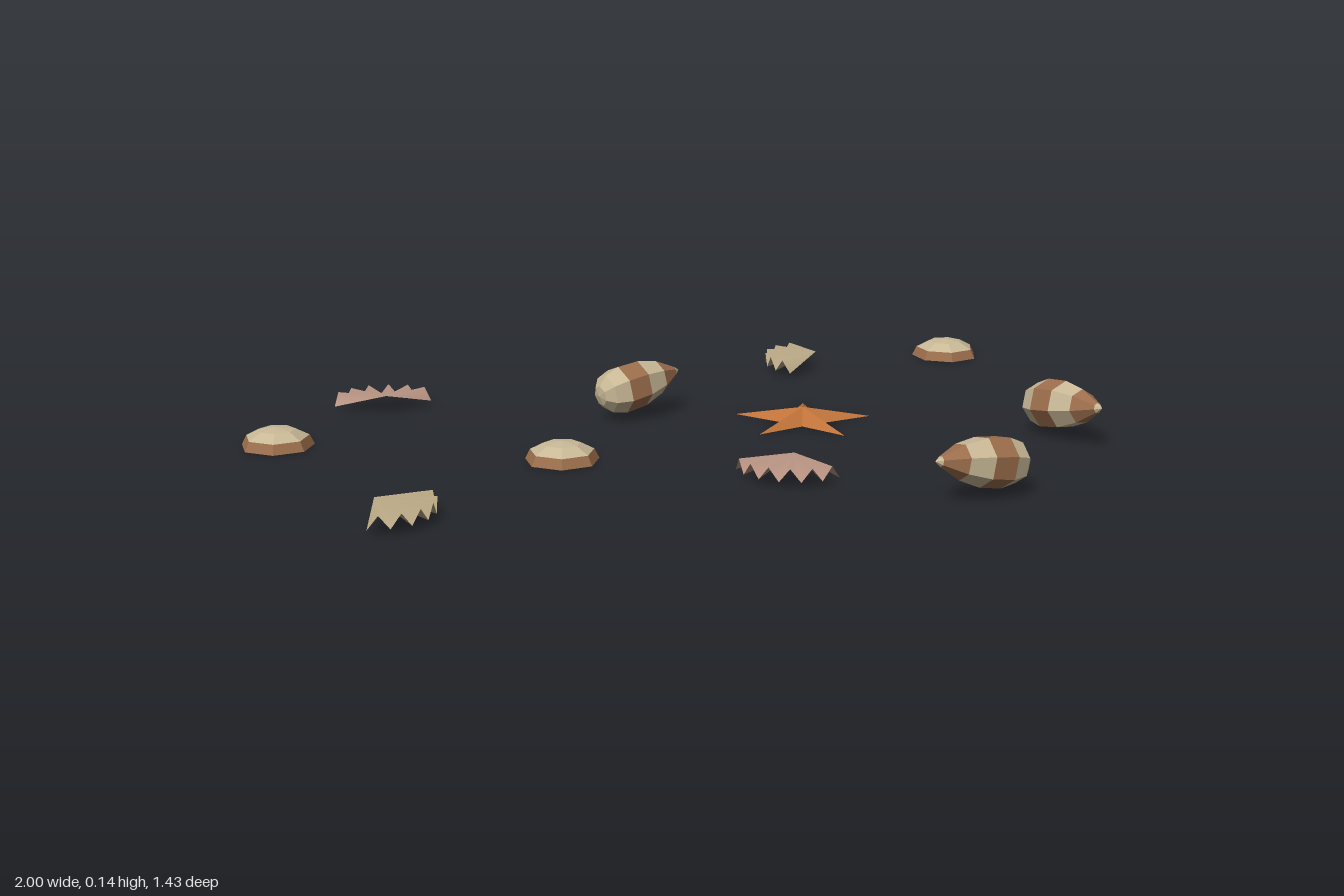
import * as THREE from 'three';

const mat = (name, color, opts = {}) =>
  new THREE.MeshStandardMaterial({ name, color, side: THREE.DoubleSide, ...opts });

const UP = new THREE.Vector3(0, 1, 0);

// Seven-sided band turned around y, through [radius, height] points from low to high
function band(name, points, material) {
  const geo = new THREE.LatheGeometry(points.map(([r, y]) => new THREE.Vector2(r, y)), 7, Math.PI / 2);
  const mesh = new THREE.Mesh(geo, material);
  mesh.name = name;
  return mesh;
}

// Low hollow dome with a darker rim
function sandDollar(x, z, turn, m) {
  const g = new THREE.Group();
  g.name = 'sandDollar';
  const R = 0.087, H = 0.046;
  const ring = deg => [R * Math.cos(deg * Math.PI / 180), H * Math.sin(deg * Math.PI / 180)];
  g.add(band('sandDollarRim', [ring(0), ring(30)], m.brown));
  g.add(band('sandDollarTop', [ring(30), ring(60), [0, H]], m.cream));
  g.position.set(x, 0, z);
  g.rotation.y = turn;
  return g;
}

// Striped tapered shell lying on its side, from its wide end to its tip
function spiralShell(end, tip, m) {
  const g = new THREE.Group();
  g.name = 'spiralShell';
  const a = new THREE.Vector3(...end), axis = new THREE.Vector3(...tip).sub(a);
  const L = axis.length();
  const bands = [
    [[0, 0], [0.025, 0.02], [0.047, 0.1], [0.059, 0.26]],
    [[0.059, 0.26], [0.057, 0.5]],
    [[0.057, 0.5], [0.041, 0.73]],
    [[0.041, 0.73], [0.012, 0.94]],
    [[0.012, 0.94], [0, 1]],
  ];
  bands.forEach((pts, i) => g.add(band('shellBand', pts.map(([r, t]) => [r, t * L]), i % 2 ? m.brown : m.cream)));
  g.position.copy(a);
  g.quaternion.setFromUnitVectors(UP, axis.normalize());
  return g;
}

// Pleated fan: ridges level with the hinge, grooves falling away to the rim
function fanShell(x, z, dx, dz, material) {
  const N = 12, R = 0.132, spread = 2.25, mid = Math.atan2(dz, dx);
  const pos = [0, 0.046, 0], index = [];
  for (let i = 0; i <= N; i++) {
    const a = mid + (i / N - 0.5) * spread;
    pos.push(R * Math.cos(a), i % 2 ? 0.044 : 0.013, R * Math.sin(a));
    if (i < N) index.push(0, i + 2, i + 1);
  }
  const geo = new THREE.BufferGeometry();
  geo.setAttribute('position', new THREE.Float32BufferAttribute(pos, 3));
  geo.setIndex(index);
  geo.computeVertexNormals();
  const mesh = new THREE.Mesh(geo, material);
  mesh.name = 'fanShell';
  mesh.position.set(x, 0, z);
  return mesh;
}

// Five-armed star with a raised centre and flat underside
function starfish(x, z, material) {
  const pos = [0, 0.036, 0, 0, 0.002, 0], index = [];
  for (let i = 0; i < 10; i++) {
    const a = i * Math.PI / 5, r = i % 2 ? 0.058 : 0.171;
    pos.push(r * Math.cos(a), 0.002, r * Math.sin(a));
    const p = i + 2, q = (i + 1) % 10 + 2;
    index.push(0, q, p, 1, p, q);
  }
  const geo = new THREE.BufferGeometry();
  geo.setAttribute('position', new THREE.Float32BufferAttribute(pos, 3));
  geo.setIndex(index);
  geo.computeVertexNormals();
  const mesh = new THREE.Mesh(geo, material);
  mesh.name = 'starfish';
  mesh.position.set(x, 0, z);
  return mesh;
}

export function createModel() {
  const m = {
    cream: mat('cream', 0xc8b896, { flatShading: true }),
    brown: mat('bandBrown', 0x9c6e4c, { flatShading: true }),
    orange: mat('starOrange', 0xc0733a, { flatShading: true }),
    sand: mat('fanSand', 0xbcab88),
    pink: mat('fanPink', 0xba9584),
  };
  const model = new THREE.Group();
  model.name = 'beachShells';

  model.add(
    sandDollar(-0.921, -0.15, 0, m),
    sandDollar(0.912, -0.632, 0.1, m),
    sandDollar(-0.307, 0.14, 0, m),

    spiralShell([-0.148, 0.063, -0.175], [0.072, 0.097, -0.258], m),
    spiralShell([0.835, 0.063, 0.137], [0.915, 0.098, 0.368], m),
    spiralShell([0.618, 0.063, 0.627], [0.383, 0.098, 0.697], m),

    fanShell(-0.633, -0.378, 0, -1, m.pink),
    fanShell(0.527, -0.57, -0.83, -0.34, m.sand),
    fanShell(0.173, 0.371, -0.49, 0.78, m.pink),
    fanShell(-0.783, 0.483, 0.73, 0.63, m.sand),

    starfish(0.328, -0.056, m.orange),
  );
  return model;
}
